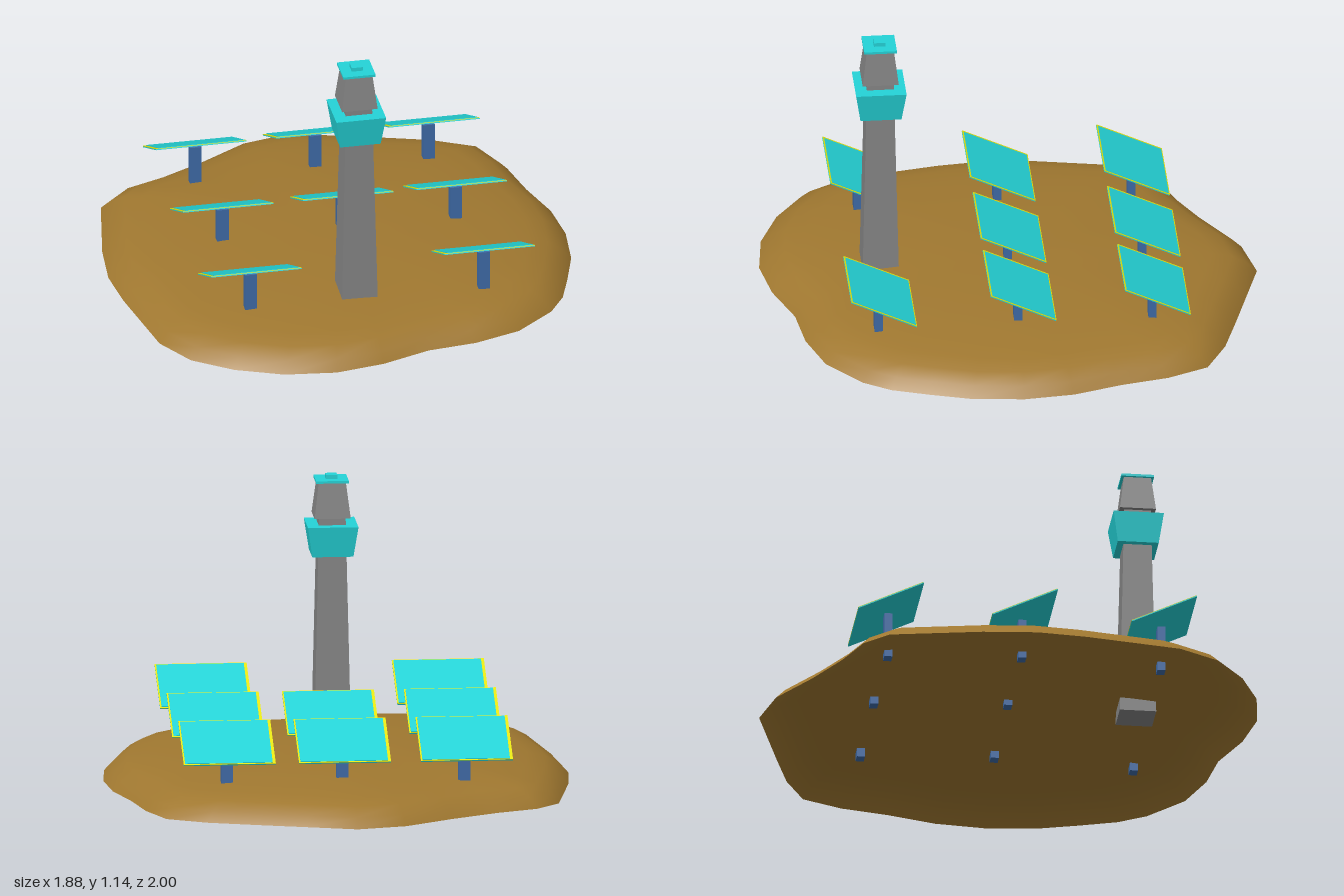
import * as THREE from 'three';

const brown = new THREE.MeshStandardMaterial({ color: 0xa07830, side: THREE.DoubleSide });
brown.name = 'earth brown';
const grey = new THREE.MeshStandardMaterial({ color: 0x858585 });
grey.name = 'concrete grey';
const cyan = new THREE.MeshStandardMaterial({ color: 0x24d4d8 });
cyan.name = 'cyan';
const blue = new THREE.MeshStandardMaterial({ color: 0x3f6ba8 });
blue.name = 'post blue';
const yellow = new THREE.MeshStandardMaterial({ color: 0xecec10 });
yellow.name = 'trim yellow';

function add(parent, name, geometry, material, x = 0, y = 0, z = 0) {
  const mesh = new THREE.Mesh(geometry, material);
  mesh.name = name;
  mesh.position.set(x, y, z);
  parent.add(mesh);
  return mesh;
}

// Square section with straight tapering walls, from y0 to y1
function taper(parent, name, material, y0, y1, half0, half1) {
  const g = new THREE.CylinderGeometry(half1 * Math.SQRT2, half0 * Math.SQRT2, y1 - y0, 4)
    .rotateY(Math.PI / 4).toNonIndexed();
  g.computeVertexNormals();
  return add(parent, name, g, material, 0, (y0 + y1) / 2, 0);
}

// Open domed shell: the coast outline shrunk towards the centre in rising rings
function islandGeometry() {
  const coast = [
    [0, -1], [0.2, -0.94], [0.4, -0.88], [0.59, -0.82], [0.75, -0.735], [0.82, -0.57],
    [0.86, -0.38], [0.92, -0.18], [0.94, 0.02], [0.92, 0.23], [0.87, 0.4], [0.82, 0.55],
    [0.75, 0.66], [0.59, 0.795], [0.4, 0.86], [0.2, 0.885], [0, 0.96], [-0.2, 0.995],
    [-0.41, 0.97], [-0.6, 0.89], [-0.755, 0.775], [-0.85, 0.61], [-0.92, 0.22], [-0.94, 0.02],
    [-0.92, -0.2], [-0.85, -0.57], [-0.755, -0.665], [-0.59, -0.73], [-0.4, -0.83], [-0.2, -0.955],
  ];
  const rings = [[0.25, 0.133], [0.5, 0.123], [0.7, 0.106], [0.82, 0.09], [0.9, 0.073], [0.96, 0.04], [1, 0]];
  const n = coast.length;
  const position = [0, 0.135, 0];
  const index = [];
  rings.forEach(([s, y], r) => {
    coast.forEach(([x, z], i) => {
      position.push(x * s, y, z * s);
      const j = (i + 1) % n;
      const outer = 1 + r * n;
      const inner = outer - n;
      if (r === 0) index.push(0, outer + j, outer + i);
      else index.push(inner + i, inner + j, outer + j, inner + i, outer + j, outer + i);
    });
  });
  const g = new THREE.BufferGeometry();
  g.setAttribute('position', new THREE.Float32BufferAttribute(position, 3));
  g.setIndex(index);
  g.computeVertexNormals();
  return g;
}

function createTower() {
  const tower = new THREE.Group();
  tower.name = 'tower';
  taper(tower, 'shaft', grey, 0.07, 0.97, 0.074, 0.054);
  taper(tower, 'gallery', cyan, 0.815, 0.94, 0.083, 0.102);
  taper(tower, 'cabin', grey, 0.97, 1.115, 0.073, 0.055);
  taper(tower, 'roof', cyan, 1.114, 1.124, 0.066, 0.066);
  taper(tower, 'roofHatch', cyan, 1.124, 1.14, 0.023, 0.023);
  tower.position.set(-0.024, 0, 0.525);
  return tower;
}

function createSolarPanel(x, z) {
  const unit = new THREE.Group();
  unit.name = 'solarPanel';
  const foot = 0.112 - 0.08 * (x * x + z * z);
  const top = 0.262;
  add(unit, 'post', new THREE.BoxGeometry(0.048, top - foot, 0.033), blue, 0, (top + foot) / 2, 0.007);

  // Tilted table, high at the front, with a yellow rim around the cell face
  const table = new THREE.Group();
  table.name = 'table';
  table.position.y = 0.267;
  table.rotation.x = -THREE.MathUtils.degToRad(25.3);
  add(table, 'backing', new THREE.BoxGeometry(0.372, 0.004, 0.292), cyan);
  add(table, 'rim', new THREE.BoxGeometry(0.372, 0.002, 0.292), yellow, 0, 0.003, 0);
  add(table, 'cells', new THREE.BoxGeometry(0.354, 0.002, 0.281), cyan, 0.003, 0.005, 0);
  unit.add(table);
  unit.position.set(x, 0, z);
  return unit;
}

export function createModel() {
  const model = new THREE.Group();
  model.name = 'solarIsland';
  add(model, 'island', islandGeometry(), brown);
  model.add(createTower());

  // Three by three grid, with the tower in the middle of the front row
  for (const x of [-0.47, 0.023, 0.489]) {
    for (const z of [-0.54, 0.003, 0.567]) {
      if (x === 0.023 && z === 0.567) continue;
      model.add(createSolarPanel(x, z));
    }
  }
  return model;
}
